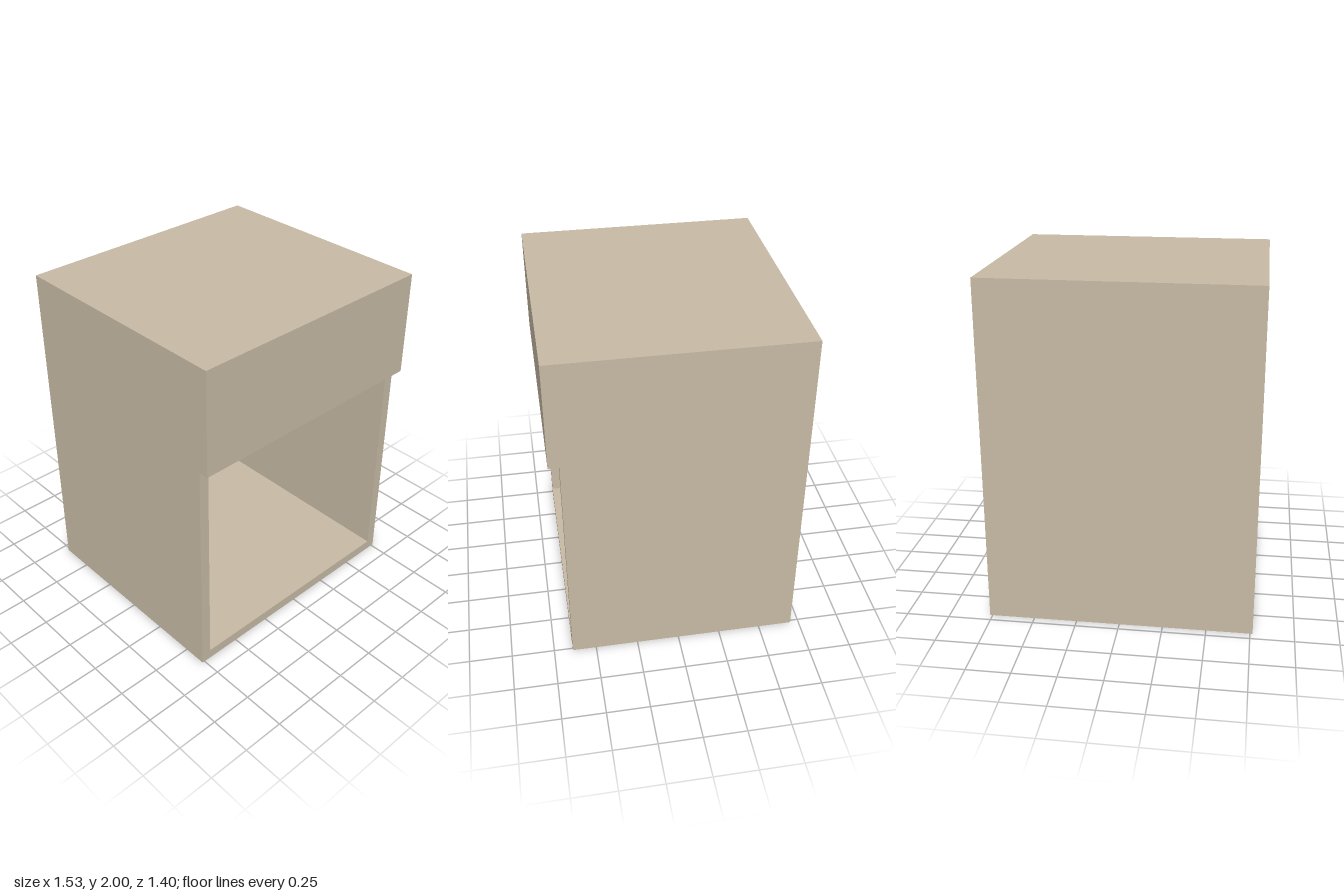
import * as THREE from 'three';

const W = 1.53, H = 2, T = 0.06;        // outer width, height, board thickness
const BACK = -0.7, FRONT = 0.64;        // carcass depth range
const BACK_T = 0.02;                    // back panel thickness
const SHELF_TOP = 1.41;

// Closed rectangle on a Shape or Path
function rect(path, x0, y0, x1, y1) {
  path.moveTo(x0, y0);
  path.lineTo(x1, y0);
  path.lineTo(x1, y1);
  path.lineTo(x0, y1);
  path.closePath();
  return path;
}

export function createModel() {
  const group = new THREE.Group();
  group.name = 'nightstand';
  const wood = new THREE.MeshStandardMaterial({ color: 0xc8bba6 });
  wood.name = 'beige wood';

  const add = (name, geometry, x, y, z) => {
    const mesh = new THREE.Mesh(geometry, wood);
    mesh.name = name;
    mesh.position.set(x, y, z);
    group.add(mesh);
  };

  // Carcass: sides, top, bottom and shelf around the open cubby and drawer bay
  const frame = rect(new THREE.Shape(), -W / 2, 0, W / 2, H);
  const inner = W / 2 - T;
  frame.holes.push(
    rect(new THREE.Path(), -inner, T, inner, SHELF_TOP - T),
    rect(new THREE.Path(), -inner, SHELF_TOP, inner, H - T)
  );
  const depth = FRONT - BACK - BACK_T;
  add('carcass', new THREE.ExtrudeGeometry(frame, { depth, bevelEnabled: false }), 0, 0, BACK + BACK_T);

  // Back panel closing both bays
  add('backPanel', new THREE.BoxGeometry(W, H, BACK_T), 0, H / 2, BACK + BACK_T / 2);

  // Drawer front, standing proud of the carcass and covering half the shelf edge
  const bottom = SHELF_TOP - T / 2;
  add('drawerFront', new THREE.BoxGeometry(W, H - bottom, T), 0, (H + bottom) / 2, FRONT + T / 2);

  return group;
}
